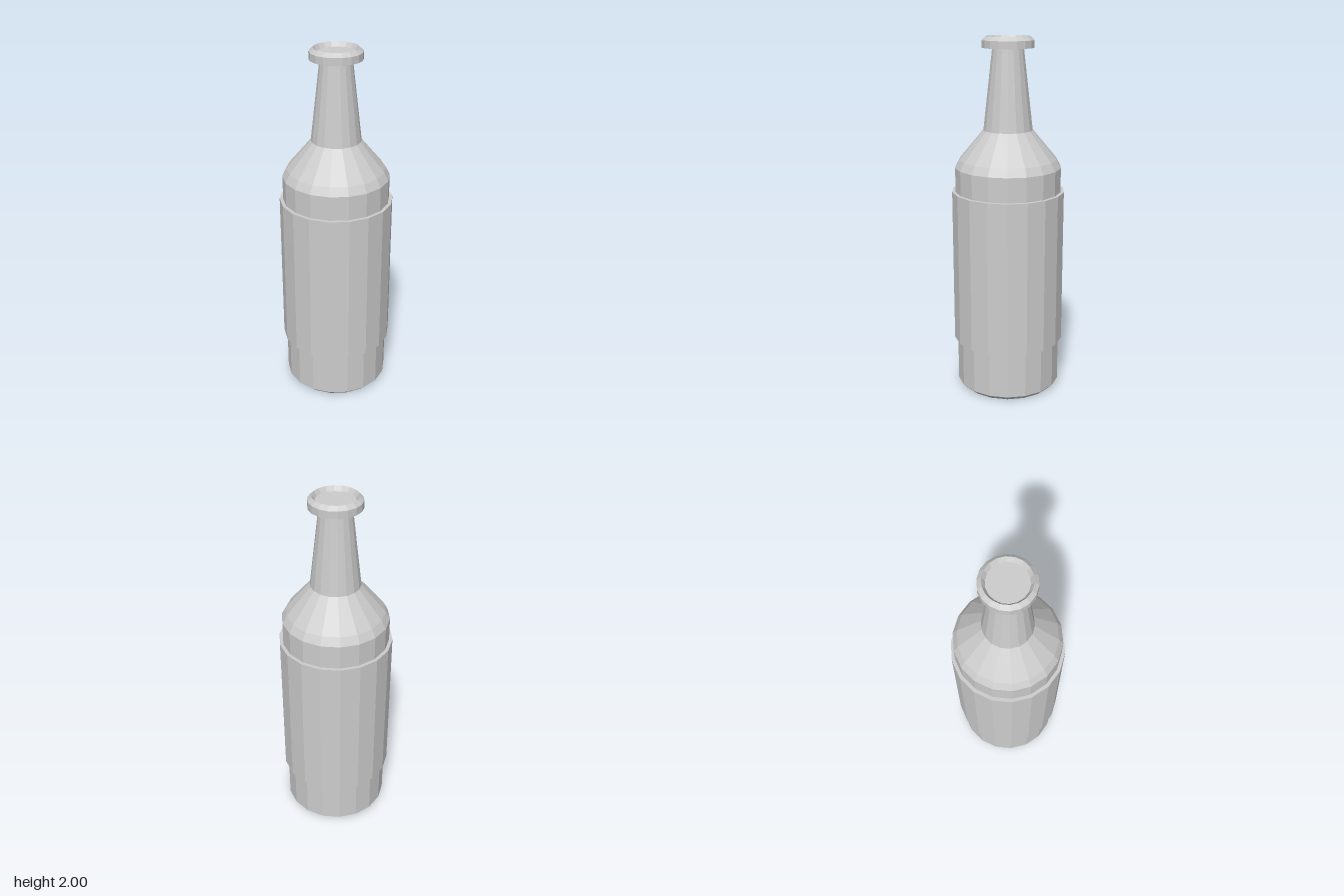
import * as THREE from 'three';

const SIDES = 18;

export function createModel() {
  const bottle = new THREE.Group();
  bottle.name = 'bottle';
  const grey = new THREE.MeshStandardMaterial({ color: 0xcccccc });
  grey.name = 'lightGrey';

  // Faceted ring part from [radius, height] pairs, listed from bottom to top
  function turned(name, profile) {
    const points = profile.map(([r, y]) => new THREE.Vector2(r, y));
    const geometry = new THREE.LatheGeometry(points, SIDES).toNonIndexed();
    geometry.computeVertexNormals();
    const mesh = new THREE.Mesh(geometry, grey);
    mesh.name = name;
    bottle.add(mesh);
  }

  // Base with bevelled foot, straight wall and rounded shoulder
  turned('body', [[0, 0], [0.27, 0], [0.295, 0.025], [0.295, 1.295], [0.27, 1.34], [0.137, 1.5]]);

  // Tapering neck
  turned('neck', [[0.137, 1.5], [0.086, 1.94]]);

  // Bevelled lip with a shallow recessed cap
  turned('lip', [[0.086, 1.94], [0.142, 1.94], [0.142, 1.98], [0.12, 2], [0.104, 1.975], [0, 1.975]]);

  // Raised band around the body
  turned('label', [[0.295, 0.287], [0.314, 0.287], [0.314, 1.16], [0.295, 1.16]]);

  return bottle;
}
